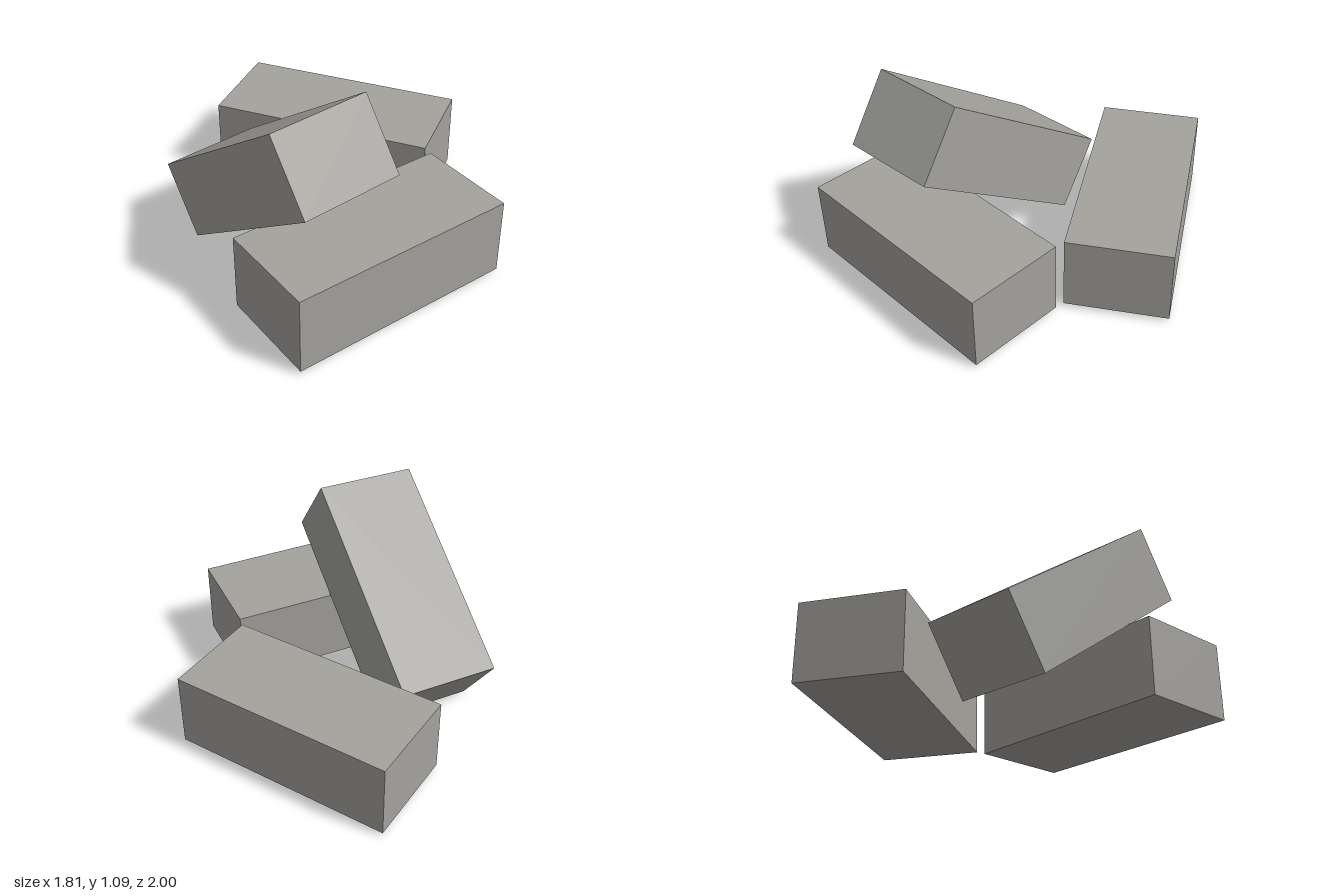
import * as THREE from 'three';

export function createModel() {
  const group = new THREE.Group();
  const stoneGrey = new THREE.MeshStandardMaterial({ color: 0xa3a29d });
  stoneGrey.name = 'stoneGrey';

  // All three blocks share one size: length along x, height y, width z
  const geometry = new THREE.BoxGeometry(1.262, 0.43, 0.566);

  const addBlock = (name, x, y, z) => {
    const block = new THREE.Mesh(geometry, stoneGrey);
    block.name = name;
    block.position.set(x, y, z);
    group.add(block);
    return block;
  };

  // Two blocks lying flat
  addBlock('frontBlock', -0.255, 0.237, 0.666).rotation.y = -0.0755;
  addBlock('sideBlock', 0.352, 0.237, -0.31).rotation.y = -1.072;

  // Block leaning on the front one, sloping down to the back
  const along = new THREE.Vector3(0.06, -0.73, -1.035).normalize();
  const across = new THREE.Vector3(0.565, 0.015, 0.02);
  const up = new THREE.Vector3().crossVectors(across, along).normalize();
  across.crossVectors(along, up);
  addBlock('leaningBlock', -0.4325, 0.55, 0.12)
    .quaternion.setFromRotationMatrix(new THREE.Matrix4().makeBasis(along, up, across));

  return group;
}
